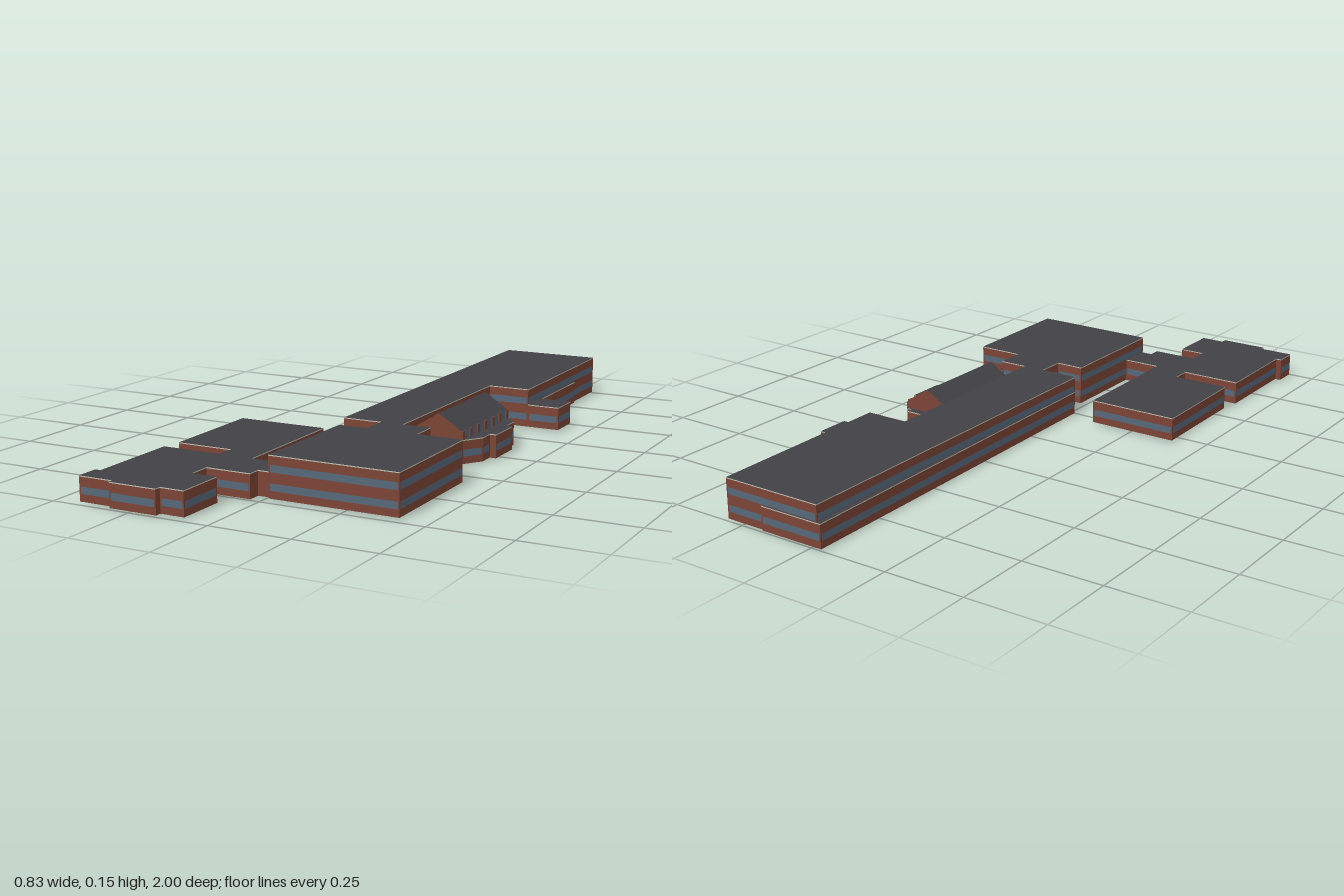
import * as THREE from 'three';

const mat = (name, color) => new THREE.MeshStandardMaterial({ name, color, side: THREE.DoubleSide });

export function createModel() {
  const model = new THREE.Group();
  model.name = 'buildingComplex';
  const brick = mat('brick', 0x7b4434);
  const glass = mat('windowGlass', 0x56687a);
  const slate = mat('roofSlate', 0x414146);
  const trim = mat('roofTrim', 0xbfc2b4);

  const BASE = 0.005, LOW = 0.078, TALL = 0.128, EDGE = 0.003;
  const GROUND_BAND = [0.027, 0.048], UPPER_BAND = [0.079, 0.1];

  // Collects upright rectangles and turns them into one mesh
  function quadMesh(name, quads, material) {
    const pos = [];
    for (const [a, b, c, d] of quads) pos.push(...a, ...b, ...c, ...a, ...c, ...d);
    const g = new THREE.BufferGeometry();
    g.setAttribute('position', new THREE.Float32BufferAttribute(pos, 3));
    g.computeVertexNormals();
    const m = new THREE.Mesh(g, material);
    m.name = name;
    return m;
  }

  // Open-bottomed wing: banded walls along an outline of [x, z], with a flat roof
  function wing(name, outline, top, bands, base = BASE) {
    const group = new THREE.Group();
    group.name = name;
    const walls = [], windows = [], edging = [];
    outline.forEach(([ax, az], i) => {
      const [bx, bz] = outline[(i + 1) % outline.length];
      const length = Math.hypot(bx - ax, bz - az);
      const rect = (list, t0, t1, y0, y1) => {
        const p = (t, y) => [ax + (bx - ax) * t, y, az + (bz - az) * t];
        list.push([p(t0, y0), p(t0, y1), p(t1, y1), p(t1, y0)]);
      };
      let y = base;
      if (length > 0.042) {
        const m = 0.005 / length;
        for (const [y0, y1] of bands) {
          rect(walls, 0, 1, y, y0);
          rect(walls, 0, m, y0, y1);
          rect(windows, m, 1 - m, y0, y1);
          rect(walls, 1 - m, 1, y0, y1);
          y = y1;
        }
      }
      rect(walls, 0, 1, y, top - EDGE);
      rect(edging, 0, 1, top - EDGE, top);
    });
    group.add(quadMesh(name + 'Walls', walls, brick));
    if (windows.length) group.add(quadMesh(name + 'Windows', windows, glass));
    group.add(quadMesh(name + 'RoofEdge', edging, trim));
    const shape = new THREE.Shape(outline.map(([x, z]) => new THREE.Vector2(x, -z)));
    const roof = new THREE.Mesh(new THREE.ShapeGeometry(shape), slate);
    roof.rotation.x = -Math.PI / 2;
    roof.position.y = top;
    roof.name = name + 'Roof';
    group.add(roof);
    model.add(group);
  }

  // Two-storey bar, neck and square front block
  wing('mainHall', [
    [-0.02, -0.995], [0.305, -0.995], [0.31, -0.385], [0.175, -0.385], [0.175, 0.24],
    [0.265, 0.24], [0.265, 0.33], [0.41, 0.33], [0.413, 0.725], [0.015, 0.725],
    [0.015, 0.33], [0.105, 0.33], [0.105, 0.24], [-0.02, 0.24],
  ], TALL, [GROUND_BAND, UPPER_BAND]);

  // Single-storey wings
  wing('lowWing', [
    [-0.4, 0.205], [-0.112, 0.205], [-0.107, 0.615], [0.014, 0.615], [0.014, 0.715],
    [-0.025, 0.715], [-0.025, 0.755], [-0.165, 0.755], [-0.165, 0.825], [-0.085, 0.825],
    [-0.085, 0.98], [-0.16, 0.98], [-0.16, 1], [-0.31, 1], [-0.31, 0.985],
    [-0.42, 0.985], [-0.42, 0.915], [-0.402, 0.915], [-0.405, 0.615], [-0.215, 0.615],
    [-0.215, 0.555], [-0.395, 0.555],
  ], LOW, [GROUND_BAND]);
  wing('sideAnnex', [[0.31, -0.49], [0.415, -0.49], [0.415, -0.385], [0.31, -0.385]], LOW, [GROUND_BAND]);
  wing('sideBay', [
    [0.175, -0.385], [0.21, -0.385], [0.21, -0.32], [0.175, -0.287],
  ], LOW, [GROUND_BAND]);
  wing('neckBay', [[0.265, 0.24], [0.312, 0.295], [0.312, 0.33], [0.265, 0.33]], LOW, [GROUND_BAND]);
  wing('facetedBay', [
    [0.175, -0.285], [0.26, -0.205], [0.31, -0.205], [0.31, -0.185], [0.325, -0.185],
    [0.365, -0.14], [0.365, -0.08], [0.385, -0.08], [0.385, 0.04], [0.365, 0.04],
    [0.365, 0.09], [0.325, 0.15], [0.235, 0.15], [0.235, 0.2], [0.215, 0.24], [0.175, 0.24],
  ], LOW, [GROUND_BAND]);

  // Narrow ledges where the ground floor stands proud of the upper floor
  wing('backLedge', [
    [-0.035, -1], [0.175, -1], [0.175, -0.995], [-0.02, -0.995], [-0.02, 0.24],
  ], LOW, [GROUND_BAND]);
  wing('sideLedge', [[0.306, -0.79], [0.314, -0.79], [0.316, -0.49], [0.309, -0.49]], LOW, [GROUND_BAND]);

  // Gabled clerestory rising through the faceted bay
  const X0 = 0.175, X1 = 0.325, XM = 0.25, Z0 = -0.18, Z1 = 0.155, EAVE = 0.105, RIDGE = 0.152;
  const gable = new THREE.Group();
  gable.name = 'gabledHall';
  gable.add(quadMesh('gableRoof', [
    [[X0, EAVE, Z0], [X0, EAVE, Z1], [XM, RIDGE, Z1], [XM, RIDGE, Z0]],
    [[XM, RIDGE, Z0], [XM, RIDGE, Z1], [X1, EAVE, Z1], [X1, EAVE, Z0]],
  ], slate));
  const end = new THREE.Shape([[X0, 0], [X1, 0], [X1, EAVE], [XM, RIDGE], [X0, EAVE]]
    .map(([x, y]) => new THREE.Vector2(x, y)));
  for (const z of [Z0, Z1]) {
    const wall = new THREE.Mesh(new THREE.ShapeGeometry(end), brick);
    wall.name = 'gableEnd';
    if (z === Z0) {
      wall.rotation.y = Math.PI;
      wall.position.x = X0 + X1;
    }
    wall.position.z = z;
    gable.add(wall);
  }
  gable.add(quadMesh('clerestoryGlass', [
    [[X1, LOW, Z0], [X1, EAVE, Z0], [X1, EAVE, Z1], [X1, LOW, Z1]],
  ], glass));
  for (let i = 0; i <= 6; i++) {
    const pier = new THREE.Mesh(new THREE.BoxGeometry(0.008, EAVE - LOW, 0.016), brick);
    pier.position.set(X1, (EAVE + LOW) / 2, Z0 + 0.008 + (i * (Z1 - Z0 - 0.016)) / 6);
    pier.name = 'clerestoryPier';
    gable.add(pier);
  }
  model.add(gable);
  return model;
}
